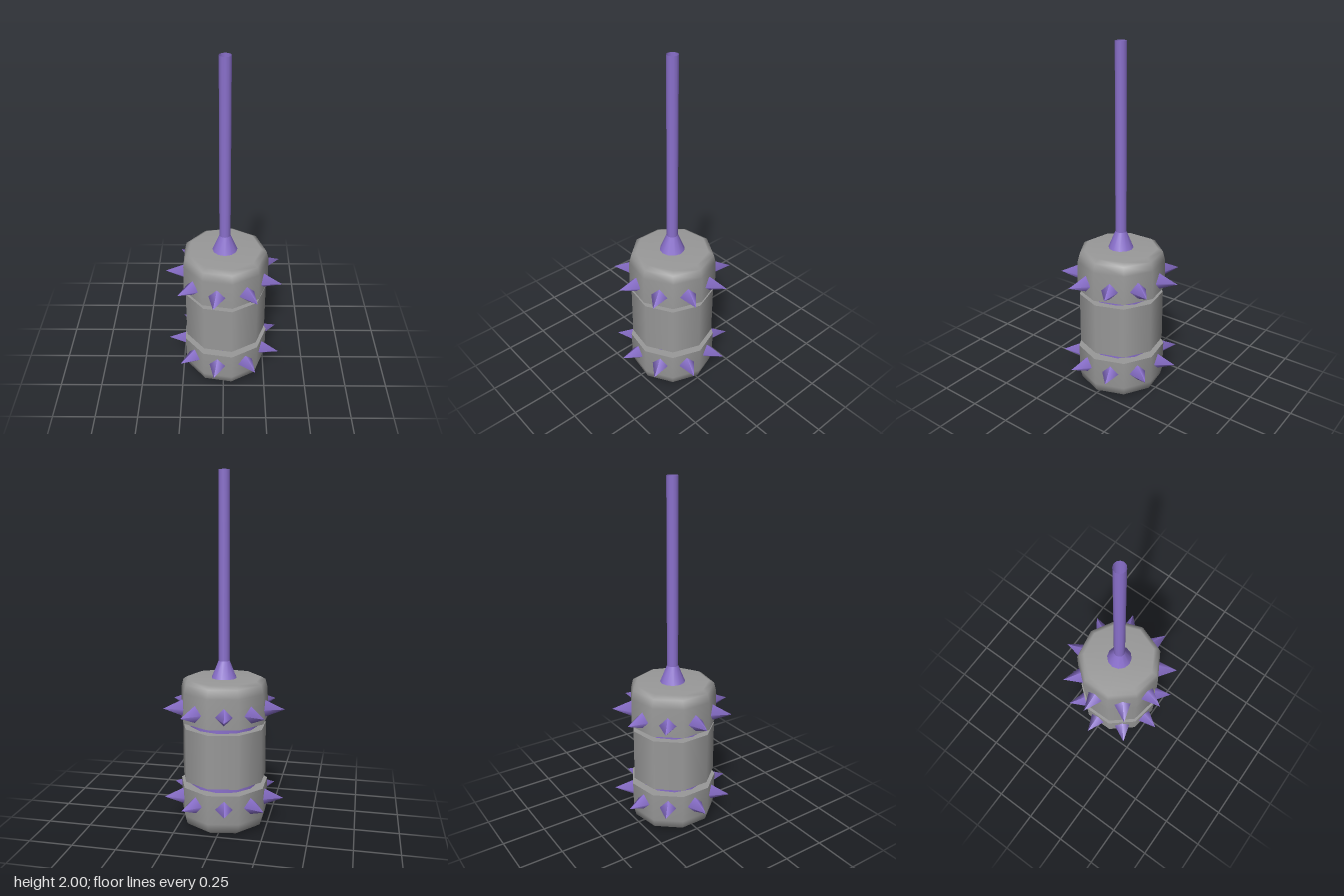
import * as THREE from 'three';

const AXIS_X = 0.008;
const SIDES = 9;

export function createModel() {
  const model = new THREE.Group();
  model.name = 'spikedMace';
  const grey = new THREE.MeshStandardMaterial({ color: 0x999999 });
  const purple = new THREE.MeshStandardMaterial({ color: 0x8a70cc, side: THREE.DoubleSide });

  const body = new THREE.Group();
  body.position.x = AXIS_X;
  model.add(body);

  const add = (name, geometry, material, y = 0) => {
    const mesh = new THREE.Mesh(geometry, material);
    mesh.name = name;
    mesh.position.y = y;
    body.add(mesh);
    return mesh;
  };

  // Nine-sided turned part; each run of points is smooth, runs meet at sharp edges
  const turned = (name, runs) => {
    runs.forEach((run) => {
      const points = run.map(([r, y]) => new THREE.Vector2(r, y));
      add(name, new THREE.LatheGeometry(points, SIDES, Math.PI / 2), grey);
    });
  };

  // Rounded end caps with flat ledges facing the middle
  turned('bottomCap', [
    [[0, 0], [0.21, 0], [0.24, 0.02], [0.253, 0.07], [0.256, 0.24]],
    [[0.256, 0.24], [0.18, 0.24]],
  ]);
  turned('topCap', [
    [[0.18, 0.62], [0.256, 0.62]],
    [[0.256, 0.62], [0.253, 0.79], [0.24, 0.84], [0.21, 0.857], [0.031, 0.857]],
  ]);

  // Middle drum
  turned('middleDrum', [
    [[0.18, 0.275], [0.245, 0.275]],
    [[0.245, 0.275], [0.245, 0.585]],
    [[0.245, 0.585], [0.18, 0.585]],
  ]);

  // Core seen in the two grooves
  add('core', new THREE.CylinderGeometry(0.2, 0.2, 0.5, 12, 1, true), purple, 0.43);

  // Handle and its flared collar
  add('collar', new THREE.CylinderGeometry(0.032, 0.073, 0.1, 12, 1, true), purple, 0.905);
  add('handle', new THREE.CylinderGeometry(0.032, 0.032, 1.14, 12, 1, true), purple, 1.43);

  // Four-sided spikes, one ring on each cap, with slightly uneven angles
  const spike = new THREE.ConeGeometry(0.057, 0.13, 4);
  spike.rotateZ(-Math.PI / 2).translate(0.285, 0, 0);
  const angles = [19.3, 58.5, 100.6, 139.8, 181.5, 220.2, 258.6, 300.5, 338.5];
  for (const [ring, y] of [['lower', 0.16], ['upper', 0.69]]) {
    angles.forEach((a) => {
      add(ring + 'Spike', spike, purple, y).rotation.y = -THREE.MathUtils.degToRad(a);
    });
  }

  return model;
}
